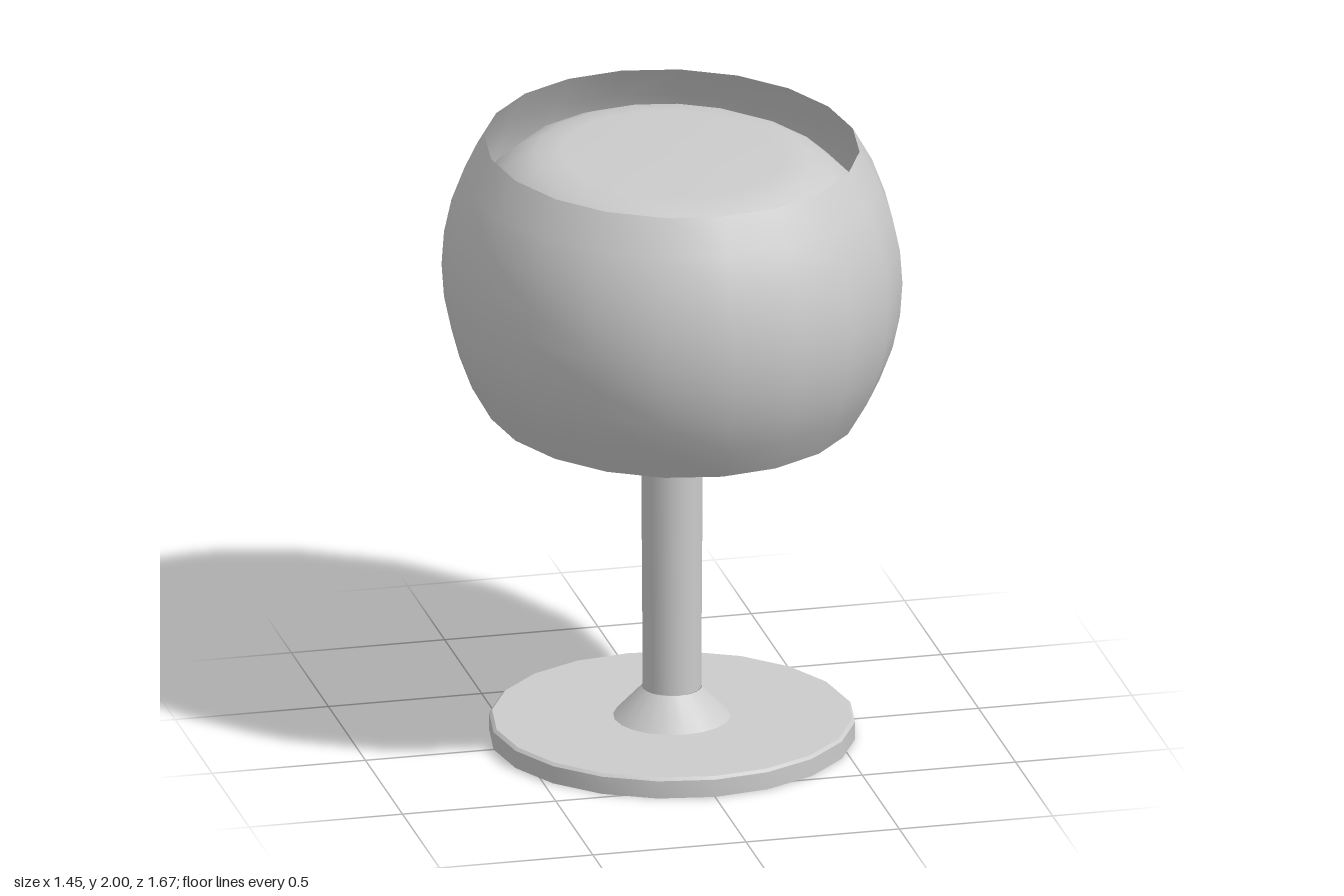
import * as THREE from 'three';
import { toCreasedNormals } from 'three/addons/utils/BufferGeometryUtils.js';

const SIDES = 20;
const RX = 0.725, RZ = 0.835; // half width and half depth of the seat
const MID = 1.56, RY = 0.757; // centre height and vertical radius of the shell

export function createModel() {
  const model = new THREE.Group();
  const material = new THREE.MeshStandardMaterial({ color: 0xcccccc, side: THREE.DoubleSide });

  // Turn a bottom-to-top profile, optionally stretched into an oval
  const turned = (name, profile, { sx = 1, sz = 1, crease = 0 } = {}) => {
    const points = profile.map(([r, y]) => new THREE.Vector2(r, y));
    let geometry = new THREE.LatheGeometry(points, SIDES);
    geometry.scale(sx, 1, sz);
    if (crease) geometry = toCreasedNormals(geometry, crease);
    const mesh = new THREE.Mesh(geometry, material);
    mesh.name = name;
    model.add(mesh);
  };

  // Oval shell, an ellipsoid band open at the top and bottom
  const band = [];
  for (let i = 0; i <= 8; i++) {
    const y = 1.12 + 0.11 * i;
    band.push([Math.sqrt(1 - ((y - MID) / RY) ** 2), y]);
  }
  turned('seatShell', band, { sx: RX, sz: RZ });

  // Plump cushion with an opening underneath
  turned('cushion', [
    [0.455, 1.118], [0.58, 1.15], [0.72, 1.22], [0.87, 1.33], [0.95, 1.44],
    [0.985, 1.56], [0.955, 1.68], [0.89, 1.77], [0.8, 1.85], [0.7, 1.915],
    [0.6, 1.95], [0.48, 1.965], [0, 1.968],
  ], { sx: RX, sz: RZ });

  // Collar at the top of the stem
  turned('collar', [[0.095, 1.2], [0.15, 1.2], [0.15, 1.28], [0, 1.28]], { crease: 0.6 });

  // Slightly tapered stem
  turned('stem', [[0.093, 0.165], [0.1, 1.24]]);

  // Hollow foot: rim, flat top and cone up to the stem
  turned('base', [
    [0.582, 0], [0.582, 0.058], [0.572, 0.067], [0.187, 0.067], [0.095, 0.165],
  ], { crease: 0.6 });

  return model;
}
